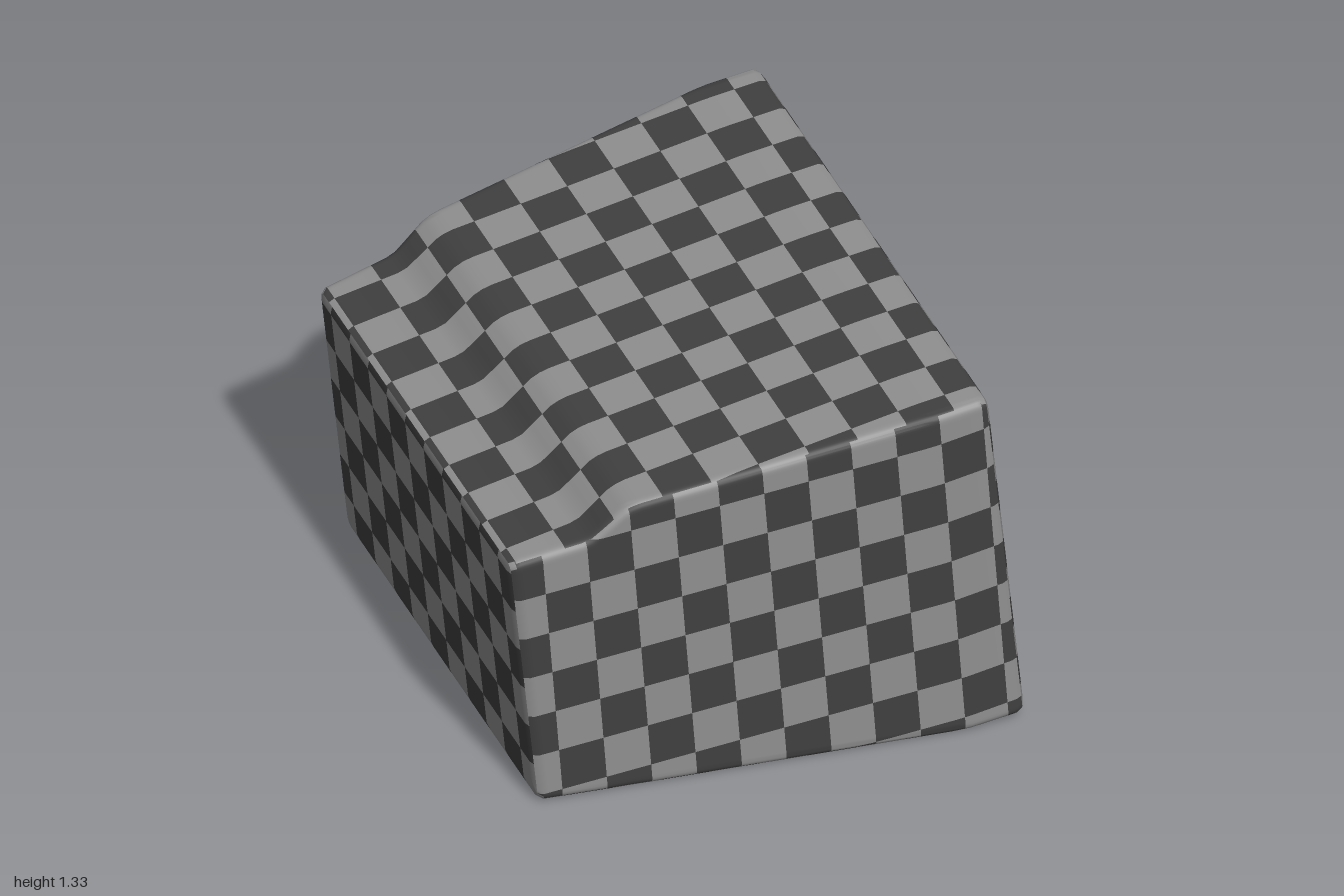
import * as THREE from 'three';
import { toCreasedNormals } from 'three/addons/utils/BufferGeometryUtils.js';

const material = (name, color) => {
  const m = new THREE.MeshStandardMaterial({ color });
  m.name = name;
  return m;
};

// Rounded rectangle across the tilted body at depth s (x leans back with height)
function ring(s, zc, halfW, yb, yt, r) {
  const pts = [], steps = 5, eps = Math.min(0.012, halfW * 0.1);
  const yc = (yb + yt) / 2, halfH = (yt - yb) / 2;
  const add = (h, v) => pts.push([s - 0.1 * (yc + v), yc + v, zc - h]);
  for (let q = 0; q < 4; q++) {
    const a0 = (q * Math.PI) / 2;
    const sx = q === 0 || q === 3 ? 1 : -1, sy = q < 2 ? 1 : -1;
    const cx = sx * (halfW - r), cy = sy * (halfH - r);
    const at = (a, slide) => add(cx + r * Math.cos(a) + slide * Math.sin(a), cy + r * Math.sin(a) - slide * Math.cos(a));
    at(a0, eps);
    for (let k = 0; k <= steps; k++) at(a0 + (k / steps) * (Math.PI / 2), 0);
    at(a0 + Math.PI / 2, -eps);
  }
  return pts;
}

// Skin successive rings, running from back to front
function loft(rings) {
  const pos = [], n = rings[0].length;
  for (let i = 0; i < rings.length - 1; i++) {
    for (let j = 0; j < n; j++) {
      const k = (j + 1) % n;
      const a = rings[i][j], b = rings[i][k], c = rings[i + 1][k], d = rings[i + 1][j];
      pos.push(...a, ...b, ...c, ...a, ...c, ...d);
    }
  }
  const g = new THREE.BufferGeometry();
  g.setAttribute('position', new THREE.Float32BufferAttribute(pos, 3));
  return toCreasedNormals(g, 0.6);
}

// Check coordinates: one unit per square, dark squares where the sum is even
function checkCoords(p, n) {
  const ax = Math.abs(n.x), ay = Math.abs(n.y), az = Math.abs(n.z);
  if (az > ax && az > ay) {
    const dx = p.x + 0.08, dy = p.y - 0.87;
    return [6.6 * dx + 0.486 * dy + 0.5, 6.075 * dy - 0.81 * dx + 0.5];
  }
  if (ay > ax) return [(p.x - 0.05) / 0.165 + 0.5, (p.z - 0.82) / 0.165 + 0.5];
  if (n.x > 0) return [(p.z - 0.463) / 0.13 + 0.5, (p.y - 0.195) / 0.122 + 0.5];
  return [p.z / 0.16 + 0.5, p.y / 0.16];
}

// Keep the part of a polygon on one side of a check line
function clip(poly, axis, limit, sign) {
  const out = [];
  poly.forEach((a, i) => {
    const b = poly[(i + 1) % poly.length];
    const da = sign * (a[axis] - limit), db = sign * (b[axis] - limit);
    if (da >= 0) out.push(a);
    if ((da > 0 && db < 0) || (da < 0 && db > 0)) {
      const t = da / (da - db);
      out.push(a.map((v, k) => v + (b[k] - v) * t));
    }
  });
  return out;
}

// Cut a polygon into strips along one check axis
function strips(poly, axis) {
  const vals = poly.map((p) => p[axis]), list = [];
  for (let i = Math.floor(Math.min(...vals)); i < Math.max(...vals); i++) {
    const part = clip(clip(poly, axis, i, 1), axis, i + 1, -1);
    if (part.length > 2) list.push([i, part]);
  }
  return list;
}

// Divide a surface into its dark and light squares
function checkered(geometry) {
  const P = geometry.attributes.position, N = geometry.attributes.normal;
  const sets = [{ pos: [], nor: [] }, { pos: [], nor: [] }];
  const tri = new THREE.Triangle(), n = new THREE.Vector3();
  for (let f = 0; f < P.count; f += 3) {
    tri.setFromAttributeAndIndices(P, f, f + 1, f + 2);
    if (tri.getArea() < 1e-9) continue;
    tri.getNormal(n);
    const poly = [tri.a, tri.b, tri.c].map((p, k) => [
      ...checkCoords(p, n), p.x, p.y, p.z, N.getX(f + k), N.getY(f + k), N.getZ(f + k),
    ]);
    for (const [i, column] of strips(poly, 0)) {
      for (const [j, cell] of strips(column, 1)) {
        const set = sets[Math.abs(i + j) % 2];
        for (let k = 1; k < cell.length - 1; k++) {
          for (const v of [cell[0], cell[k], cell[k + 1]]) {
            set.pos.push(v[2], v[3], v[4]);
            set.nor.push(v[5], v[6], v[7]);
          }
        }
      }
    }
  }
  return sets.map(({ pos, nor }) => {
    const g = new THREE.BufferGeometry();
    g.setAttribute('position', new THREE.Float32BufferAttribute(pos, 3));
    g.setAttribute('normal', new THREE.Float32BufferAttribute(nor, 3));
    return g;
  });
}

export function createModel() {
  const model = new THREE.Group();
  model.name = 'monitor';
  const lightGrey = material('lightGrey', 0x909090);
  const darkGrey = material('darkGrey', 0x404040);
  const black = material('screenBlack', 0x0d0d0d);

  // Housing stations: depth, half width, bottom, top
  const stations = [
    [-0.785, 0.79, 0.05, 0.96], [-0.785, 0.80, 0.04, 0.97],
    [-0.778, 0.82, 0.015, 0.993], [-0.76, 0.833, 0.005, 1.003], [-0.745, 0.835, 0.004, 1.006],
    [-0.53, 0.86, 0.002, 1.043], [-0.495, 0.864, 0.002, 1.056], [-0.46, 0.868, 0.002, 1.083],
    [-0.385, 0.877, 0.001, 1.143], [-0.354, 0.88, 0.001, 1.158], [-0.32, 0.884, 0.001, 1.167],
    [0.64, 0.996, 0, 1.312], [0.69, 1, 0.002, 1.318], [0.84, 1, 0.016, 1.333],
    [0.853, 1, 0.018, 1.334], [0.872, 0.992, 0.025, 1.327], [0.882, 0.975, 0.042, 1.31],
    [0.883, 0.96, 0.056, 1.296],
  ];
  const rings = stations.map(([s, w, yb, yt]) => ring(s, 0, w, yb, yt, 0.03));
  rings.unshift(ring(-0.785, 0, 0, 0.5, 0.5, 0));

  // Bezel slopes in to the screen opening, which sits toward one side
  rings.push(
    ring(0.883, 0.155, 0.795, 0.265, 1.275, 0.06),
    ring(0.882, 0.155, 0.785, 0.275, 1.265, 0.06),
    ring(0.872, 0.155, 0.765, 0.283, 1.254, 0.06),
    ring(0.832, 0.155, 0.733, 0.297, 1.237, 0.07),
  );
  const housing = new THREE.Group();
  housing.name = 'housing';
  checkered(loft(rings)).forEach((g, i) => {
    const mesh = new THREE.Mesh(g, i === 0 ? darkGrey : lightGrey);
    mesh.name = i === 0 ? 'housingDarkSquares' : 'housingLightSquares';
    housing.add(mesh);
  });
  model.add(housing);

  // Slightly bulging screen
  const screenRings = [];
  for (let k = 0; k <= 8; k++) {
    const t = 1 - k / 8;
    screenRings.push(ring(0.832 + 0.028 * (1 - t * t), 0.155, 0.735 * t, 0.767 - 0.472 * t, 0.767 + 0.472 * t, 0.07 * t));
  }
  const screen = new THREE.Mesh(loft(screenRings), black);
  screen.name = 'screen';
  model.add(screen);
  return model;
}
